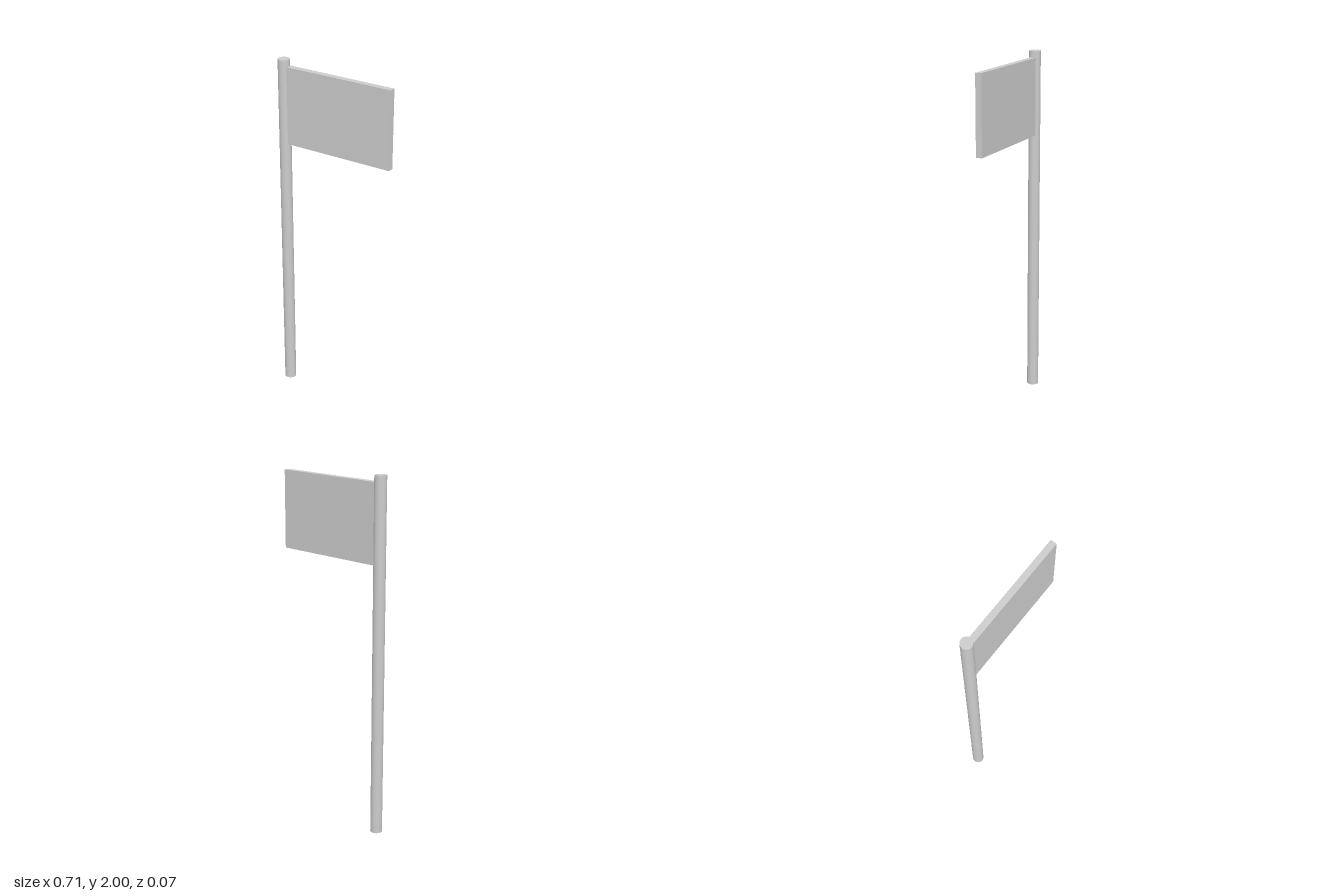
import * as THREE from 'three';

export function createModel() {
  const group = new THREE.Group();
  const material = new THREE.MeshStandardMaterial({ color: 0xcccccc });

  // Round upright post
  const post = new THREE.Mesh(new THREE.CylinderGeometry(0.033, 0.033, 2, 48), material);
  post.name = 'post';
  post.position.set(-0.32, 1, 0);
  group.add(post);

  // Flat sign board, its inner end just set into the post
  const left = -0.292, right = 0.353, bottom = 1.528, top = 1.963;
  const board = new THREE.Mesh(new THREE.BoxGeometry(right - left, top - bottom, 0.035), material);
  board.name = 'signBoard';
  board.position.set((left + right) / 2, (bottom + top) / 2, -0.001);
  group.add(board);

  return group;
}
